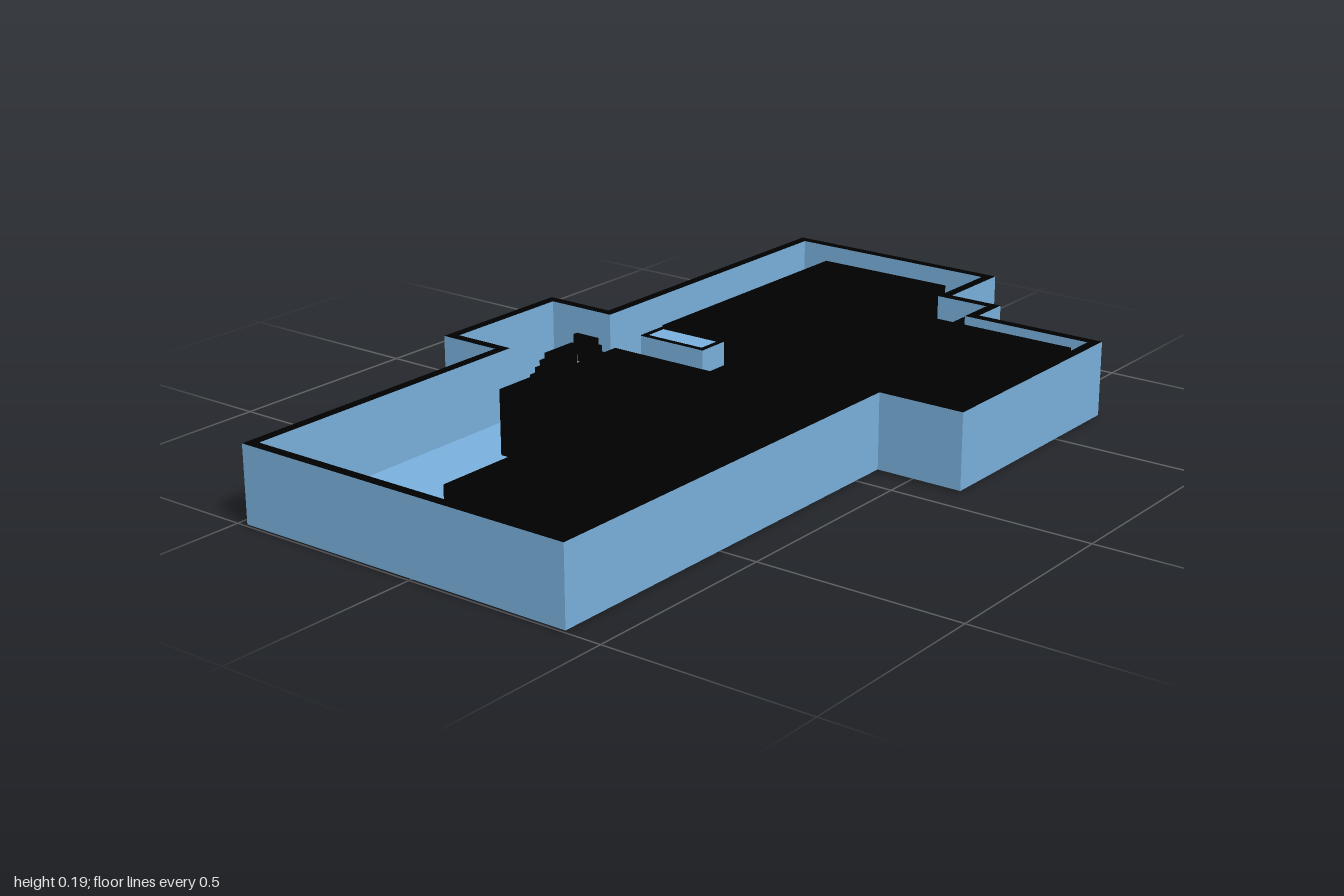
import * as THREE from 'three';

const blue = new THREE.MeshStandardMaterial({ color: 0x79b0dc });
const black = new THREE.MeshStandardMaterial({ color: 0x000000 });

const BASE = 0.005, FLOOR = 0.015, BLOCK_TOP = 0.173, WALL_TOP = 0.188, WALL = 0.025;

// Building outline as [x, z], going round clockwise seen from above
const outline = [
  [-1, -0.47], [-0.21, -0.47], [-0.21, -0.63], [0.18, -0.63], [0.18, -0.448],
  [1, -0.448], [1, 0.153], [0.793, 0.153], [0.793, 0.293], [0.693, 0.293],
  [0.693, 0.63], [0.077, 0.63], [0.077, 0.413], [-1, 0.413],
];

// Move every edge of a right-angled outline inward by d
function inset(points, d) {
  const n = points.length;
  return points.map(([x, z], i) => {
    const a = points[(i + n - 1) % n], b = points[(i + 1) % n];
    const dirs = [[x - a[0], z - a[1]], [b[0] - x, b[1] - z]];
    let px = x, pz = z;
    for (const [dx, dz] of dirs) {
      px -= Math.sign(dz) * d;
      pz += Math.sign(dx) * d;
    }
    return [px, pz];
  });
}

const toPoints = (pts) => pts.map(([x, z]) => new THREE.Vector2(x, -z));

// Upright prism over a plan between two heights; a hole runs the other way round
function prism(name, plan, y0, y1, material, hole) {
  const shape = new THREE.Shape(toPoints(plan));
  if (hole) shape.holes.push(new THREE.Path(toPoints(hole).reverse()));
  const geometry = new THREE.ExtrudeGeometry(shape, { depth: y1 - y0, bevelEnabled: false });
  geometry.rotateX(-Math.PI / 2).translate(0, y0, 0);
  const mesh = new THREE.Mesh(geometry, material);
  mesh.name = name;
  return mesh;
}

const rect = (x0, x1, z0, z1) => [[x0, z0], [x1, z0], [x1, z1], [x0, z1]];

// Flight of steps, open below, rising towards +z or -x
function stairs(name, x0, x1, z0, z1, top, alongX = false) {
  const group = new THREE.Group();
  group.name = name;
  const count = 7, thickness = 0.05;
  for (let i = 0; i < count; i++) {
    const a = i / count, b = (i + 1) / count;
    const plan = alongX
      ? rect(x1 + (x0 - x1) * b, x1 + (x0 - x1) * a, z0, z1)
      : rect(x0, x1, z0 + (z1 - z0) * a, z0 + (z1 - z0) * b);
    const y = FLOOR + (top - FLOOR) * b;
    group.add(prism('step', plan, Math.max(FLOOR, y - thickness), y, black));
  }
  return group;
}

export function createModel() {
  const model = new THREE.Group();
  model.name = 'floorPlan';

  // Shell: floor slab under outer walls with dark tops
  const inner = inset(outline, WALL);
  model.add(prism('floor', outline, BASE, FLOOR, blue));
  model.add(prism('outerWalls', outline, FLOOR, WALL_TOP, [black, blue], inner));

  // Room blocks
  const blocks = {
    leftWing: [
      [-0.89, 0], [-0.385, 0], [-0.385, -0.3], [-0.175, -0.3], [-0.175, -0.28],
      [0, -0.28], [0, 0], [0.113, 0], [0.113, 0.308], [-0.89, 0.308],
    ],
    rightWing: [
      [0.205, -0.3], [0.898, -0.3], [0.898, 0.068], [0.655, 0.068], [0.655, 0.048],
      [0.305, 0.048], [0.305, -0.045], [0.655, -0.045], [0.655, -0.105], [0.205, -0.105],
    ],
    frontHall: rect(0.118, 0.65, 0.057, 0.572),
  };
  for (const [name, plan] of Object.entries(blocks)) {
    model.add(prism(name, plan, FLOOR, BLOCK_TOP, black));
  }

  // Lift shaft with a dark rim, reaching just below the floor
  const shaft = rect(0.113, 0.197, -0.293, -0.108);
  model.add(prism('shaft', shaft, 0, BLOCK_TOP - 0.002, blue));
  model.add(prism('shaftRim', shaft, BLOCK_TOP - 0.002, BLOCK_TOP, black, inset(shaft, 0.011)));

  // Staircases
  model.add(stairs('backStairs', -0.11, -0.012, -0.5, -0.388, 0.165));
  model.add(stairs('sideStairs', 0.04, 0.13, -0.442, -0.375, 0.165, true));
  model.add(stairs('frontStairsRight', 0.657, 0.704, 0.142, 0.257, 0.17));
  model.add(stairs('frontStairsLeft', 0.71, 0.757, 0.142, 0.257, 0.17));

  return model;
}
